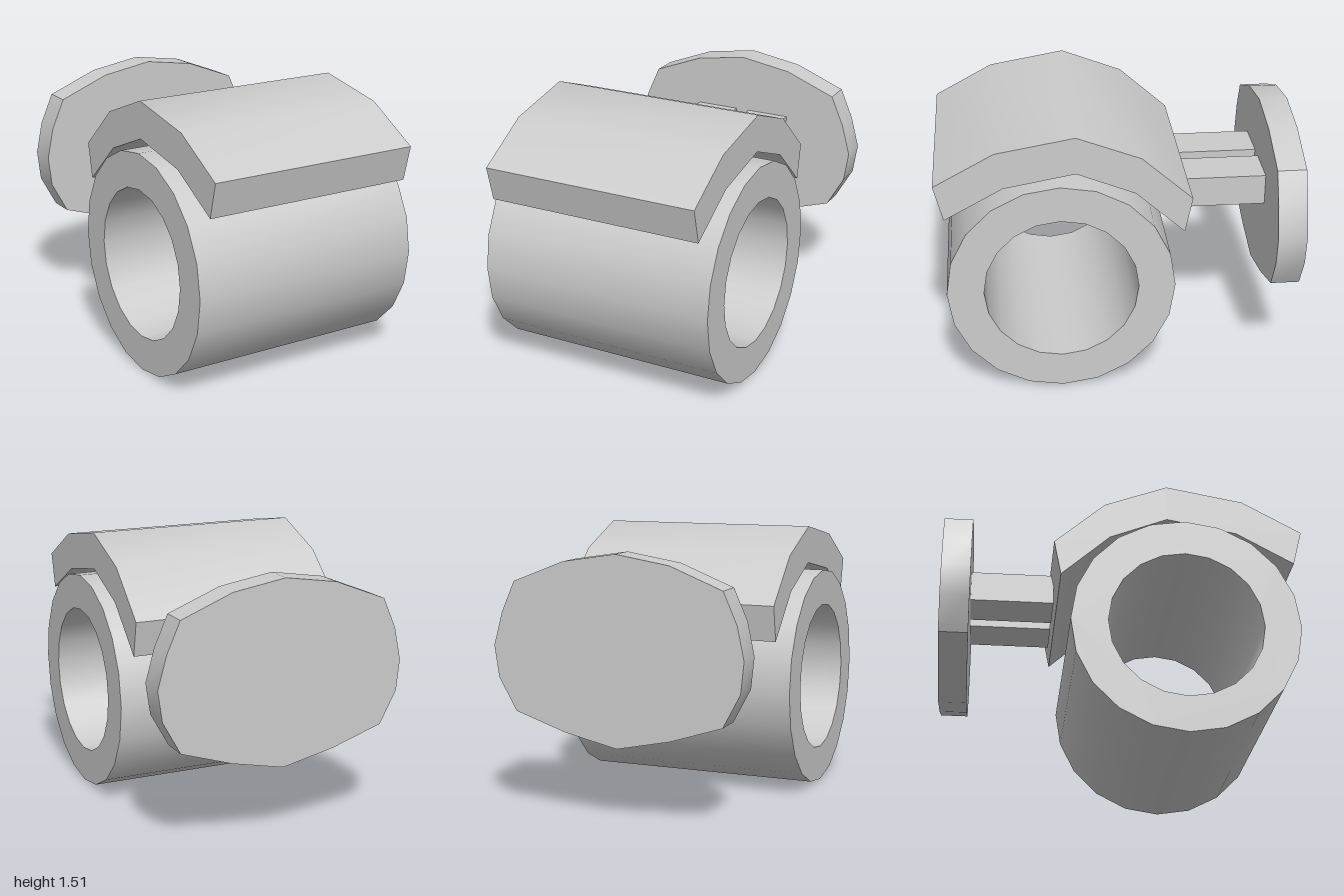
import * as THREE from 'three';
import { toCreasedNormals } from 'three/addons/utils/BufferGeometryUtils.js';

const material = new THREE.MeshStandardMaterial({ color: 0xcccccc });
const points = (list) => list.map(([a, b]) => new THREE.Vector2(a, b));

function ring(z, y, radius, sides) {
  return Array.from({ length: sides }, (_, i) => {
    const a = (i / sides) * Math.PI * 2;
    return new THREE.Vector2(z + radius * Math.cos(a), y + radius * Math.sin(a));
  });
}

// Extrude with smooth shallow bends and sharp corners
function extrude(shape, depth) {
  const geometry = new THREE.ExtrudeGeometry(shape, { depth, bevelEnabled: false });
  return toCreasedNormals(geometry, THREE.MathUtils.degToRad(36));
}

// Extrude a (z, y) profile along x
function extrudeAlongX(shape, x0, x1) {
  return extrude(shape, x1 - x0).rotateY(-Math.PI / 2).translate(x1, 0, 0);
}

export function createModel() {
  const group = new THREE.Group();
  const add = (name, geometry) => {
    const mesh = new THREE.Mesh(geometry, material);
    mesh.name = name;
    group.add(mesh);
    return mesh;
  };

  // Thick 20-sided open tube lying along x
  const tube = new THREE.Shape(ring(0.33, 0.63, 0.627, 20));
  tube.holes.push(new THREE.Path(ring(0.33, 0.63, 0.425, 20)));
  add('tube', extrudeAlongX(tube, -0.72, 0.637));

  // Faceted curved cover above the tube
  const cover = new THREE.Shape(points([
    [1, 1.26], [0.67, 1.44], [0.24, 1.515], [-0.11, 1.38], [-0.39, 1.13],
    [-0.35, 0.93], [-0.08, 1.175], [0.24, 1.305], [0.63, 1.235], [0.95, 1.06],
  ]));
  add('cover', extrudeAlongX(cover, -0.655, 0.58));

  // Two struts joining the cover to the back plate
  for (const [name, x] of [['rightStrut', -0.168], ['leftStrut', 0.17]]) {
    add(name, new THREE.BoxGeometry(0.256, 0.175, 0.48)).position.set(x, 1.018, -0.61);
  }

  // Rounded back plate
  const plate = new THREE.Shape(points([
    [0, 0.42], [0.3, 0.485], [0.59, 0.58], [0.69, 0.76], [0.715, 0.93], [0.665, 1.11],
    [0.59, 1.28], [0.3, 1.395], [0, 1.443], [-0.3, 1.395], [-0.59, 1.28],
    [-0.665, 1.11], [-0.703, 0.93], [-0.685, 0.76], [-0.59, 0.58], [-0.3, 0.485],
  ]));
  add('backPlate', extrude(plate, 0.16).translate(0, 0, -1));

  return group;
}
